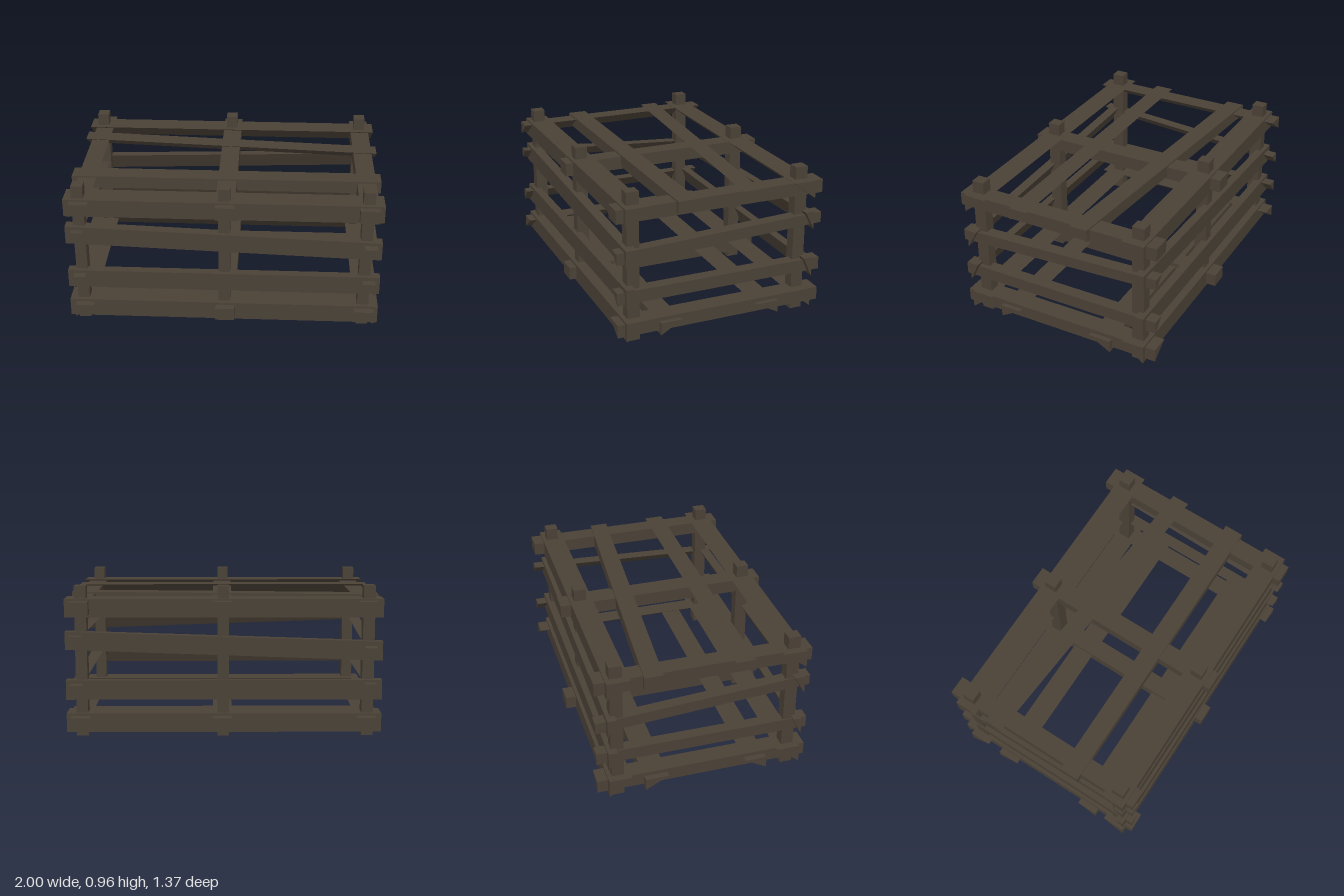
import * as THREE from 'three';
import { ConvexGeometry } from 'three/addons/geometries/ConvexGeometry.js';

const wood = new THREE.MeshStandardMaterial({ color: 0x4a4136, flatShading: true });

export function createModel() {
  const crate = new THREE.Group();
  crate.name = 'crate';

  function add(name, geometry) {
    const mesh = new THREE.Mesh(geometry, wood);
    mesh.name = name;
    crate.add(mesh);
    return mesh;
  }

  function box(name, x0, x1, y0, y1, z0, z1) {
    add(name, new THREE.BoxGeometry(x1 - x0, y1 - y0, z1 - z0))
      .position.set((x0 + x1) / 2, (y0 + y1) / 2, (z0 + z1) / 2);
  }

  // Wedge-section rail between two end sections [inner, outer, bottom, top].
  // It is square along its top and outer face and slopes underneath.
  function rail(name, axis, start, end, a, b = a) {
    const points = [];
    for (const [at, [inner, outer, y0, y1]] of [[start, a], [end, b]]) {
      for (const [side, y] of [[inner, y1], [outer, y1], [outer, y0]]) {
        points.push(axis === 'x' ? new THREE.Vector3(at, y, side) : new THREE.Vector3(side, y, at));
      }
    }
    add(name, new ConvexGeometry(points));
  }
  const alongX = (name, a, b) => rail(name, 'x', -1, 0.995, a, b);
  const alongZ = (name, a, b) => rail(name, 'z', -0.685, 0.685, a, b);

  // Six upright posts
  for (const x of [-0.913, 0.003, 0.898]) {
    for (const z of [-0.55, 0.57]) {
      box('post', x - 0.037, x + 0.037, 0, 0.96, z - 0.04, z + 0.04);
    }
  }

  // Front and back rails, the third pair crossing at a slant
  alongX('frontBottomRail', [0.487, 0.637, 0.03, 0.15]);
  alongX('frontLowerRail', [0.58, 0.637, 0.25, 0.37]);
  alongX('frontSlantedRail', [0.57, 0.637, 0.57, 0.69], [0.57, 0.637, 0.50, 0.62]);
  alongX('frontTopRail', [0.487, 0.637, 0.765, 0.88]);
  alongX('backBottomRail', [-0.47, -0.617, 0.03, 0.15]);
  alongX('backLowerRail', [-0.56, -0.617, 0.24, 0.365]);
  alongX('backSlantedRail', [-0.56, -0.617, 0.49, 0.61], [-0.56, -0.617, 0.56, 0.675]);
  alongX('backTopRail', [-0.47, -0.617, 0.765, 0.88]);

  // Side rails; sections run from the back end to the front end
  alongZ('rightBottomRail', [-0.84, -0.96, 0.05, 0.135]);
  alongZ('rightLowerRail', [-0.885, -0.96, 0.27, 0.35]);
  alongZ('rightSlantedRail', [-0.885, -0.96, 0.505, 0.58], [-0.885, -0.96, 0.60, 0.67]);
  alongZ('rightTopRail', [-0.84, -0.96, 0.785, 0.87]);
  alongZ('leftBottomRail', [0.84, 0.965, 0.05, 0.135]);
  alongZ('leftLowerRail', [0.885, 0.965, 0.265, 0.345]);
  alongZ('leftSlantedRail', [0.885, 0.965, 0.585, 0.655], [0.885, 0.965, 0.525, 0.60]);
  box('leftTopRail', 0.84, 0.963, 0.785, 0.87, -0.685, 0.685);

  // Square beams across the middle
  box('middleBottomBeam', -0.053, 0.07, 0.05, 0.135, -0.685, 0.685);
  box('middleTopBeam', -0.053, 0.07, 0.785, 0.87, -0.685, 0.685);

  // Floor and lid slats
  alongX('frontFloorSlat', [0.275, 0.415, 0.03, 0.11]);
  alongX('backFloorSlat', [-0.235, -0.385, 0.03, 0.11]);
  alongX('frontLidSlat', [0.18, 0.305, 0.80, 0.88]);
  alongX('slantedLidSlat', [-0.27, -0.39, 0.80, 0.88], [-0.12, -0.237, 0.80, 0.88]);

  return crate;
}
